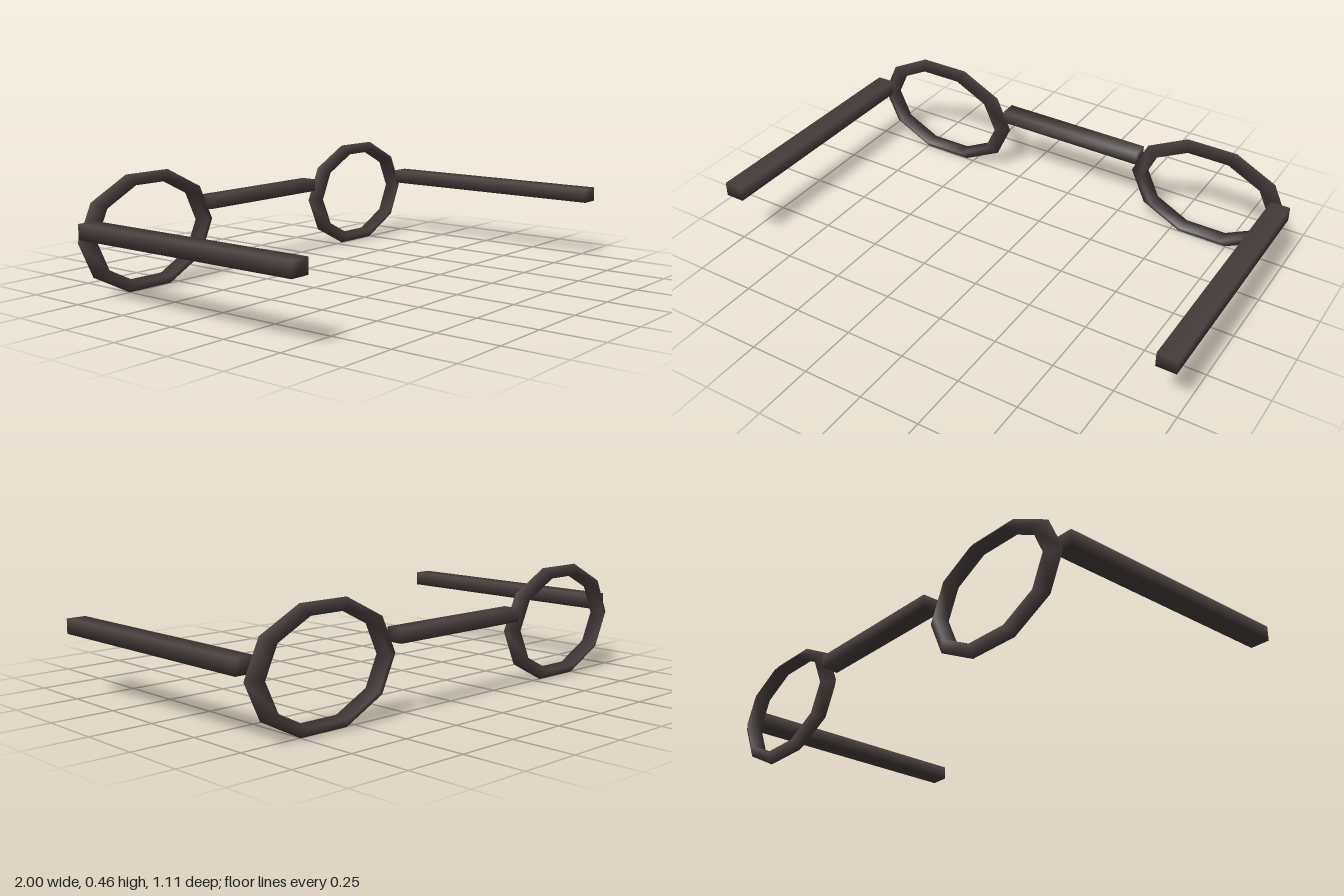
import * as THREE from 'three';
import { mergeVertices } from 'three/addons/utils/BufferGeometryUtils.js';

const material = new THREE.MeshStandardMaterial({ color: 0x4a3f3f });

// Box with shared corners, so its shading runs softly over the edges
function softBar(name, width, height, depth) {
  let geometry = new THREE.BoxGeometry(width, height, depth);
  geometry.deleteAttribute('normal');
  geometry.deleteAttribute('uv');
  geometry = mergeVertices(geometry);
  geometry.computeVertexNormals();
  const mesh = new THREE.Mesh(geometry, material);
  mesh.name = name;
  return mesh;
}

export function createModel() {
  const group = new THREE.Group();
  group.name = 'glasses';

  // Ten-sided oval rim with a triangular section, its ridge facing outward
  const rimGeometry = new THREE.TorusGeometry(0.302, 0.04, 3, 10);
  rimGeometry.scale(1, 0.7, 1);

  for (const [side, label] of [[1, 'left'], [-1, 'right']]) {
    const rim = new THREE.Mesh(rimGeometry, material);
    rim.name = label + 'Rim';
    rim.position.set(side * 0.644, 0.228, -0.503);
    group.add(rim);

    // Straight temple arm reaching forward from the rim's outer edge
    const arm = softBar(label + 'Arm', 0.08, 0.059, 1.03);
    arm.position.set(side * 0.96, 0.274, 0.036);
    group.add(arm);
  }

  // Bridge between the rims
  const bridge = softBar('bridge', 0.65, 0.053, 0.07);
  bridge.position.set(0, 0.297, -0.52);
  group.add(bridge);

  return group;
}
